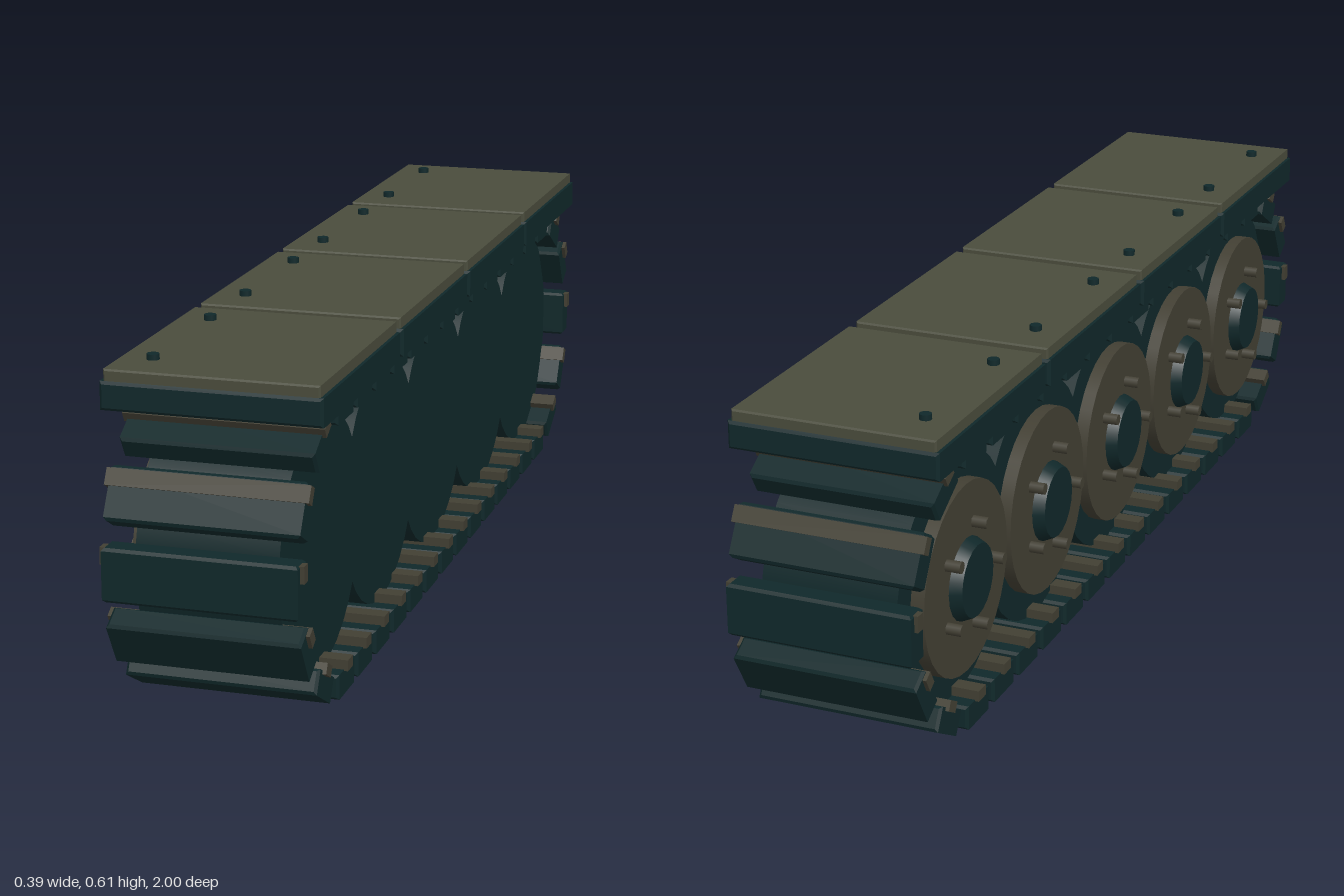
import * as THREE from 'three';

const mat = (name, color) => Object.assign(new THREE.MeshStandardMaterial({ color }), { name });

// box with chamfered edges, centred on the origin
function bevelBox(w, h, d, b) {
  const x = w / 2 - b, y = h / 2 - b;
  const shape = new THREE.Shape([[-x, -y], [x, -y], [x, y], [-x, y]].map(p => new THREE.Vector2(...p)));
  const geo = new THREE.ExtrudeGeometry(shape, {
    depth: d - 2 * b, bevelEnabled: true, bevelThickness: b, bevelSize: b, bevelSegments: 1,
  });
  return geo.translate(0, 0, b - d / 2);
}

// cylinder lying along x
const disc = (r, len, sides, r2 = r) => new THREE.CylinderGeometry(r, r2, len, sides).rotateZ(Math.PI / 2);

export function createModel() {
  const model = new THREE.Group();
  const steel = mat('dark teal steel', 0x10282a);
  const olive = mat('olive armour', 0x4a4c3c);
  const brown = mat('brown metal', 0x423f33);
  const add = (name, geo, material, x, y, z, parent = model) => {
    const m = new THREE.Mesh(geo, material);
    m.name = name;
    m.position.set(x, y, z);
    parent.add(m);
    return m;
  };

  const axleY = 0.268, endZ = 0.7325;

  // road wheels with outer disc, hub and five bolts on the right side
  const wheelGeo = disc(0.228, 0.25, 32);
  const discGeo = disc(0.175, 0.025, 32);
  const hubGeo = disc(0.066, 0.022, 20, 0.076);
  const boltGeo = disc(0.011, 0.028, 8);
  hubGeo.rotateY(Math.PI);
  for (let i = -2; i <= 2; i++) {
    const wheel = new THREE.Group();
    wheel.name = 'roadWheel';
    wheel.position.set(0, axleY, i * endZ / 2);
    add('wheelBody', wheelGeo, steel, 0, 0, 0, wheel);
    add('wheelDisc', discGeo, brown, -0.1375, 0, 0, wheel);
    add('wheelHub', hubGeo, steel, -0.16, 0, 0, wheel).rotation.y = Math.PI;
    for (let k = 0; k < 5; k++) {
      const a = k * Math.PI * 2 / 5;
      add('wheelBolt', boltGeo, brown, -0.164, 0.1 * Math.sin(a), 0.1 * Math.cos(a), wheel);
    }
    model.add(wheel);
  }

  // track shoes, each with a cross bar
  const shoeGeo = bevelBox(0.34, 0.045, 0.095, 0.005);
  const barGeo = new THREE.BoxGeometry(0.354, 0.02, 0.03);
  const radius = 0.245;
  const addShoe = (y, z, angle) => {
    add('trackShoe', shoeGeo, steel, 0, y, z).rotation.x = angle;
    add('trackBar', barGeo, brown, 0, y + 0.03, z).rotation.x = angle;
  };
  for (let i = 0; i < 14; i++) {
    const z = -endZ + i * 2 * endZ / 13;
    addShoe(axleY - radius, z, 0);
    addShoe(axleY + radius, z, 0);
  }
  for (const side of [-1, 1]) {
    for (let k = -2; k <= 2; k++) {
      const a = k * Math.PI / 6;
      addShoe(axleY + radius * Math.sin(a), side * (endZ + radius * Math.cos(a)), side * (Math.PI / 2 - a));
    }
  }

  // armoured track guards with two bolts each
  const baseGeo = bevelBox(0.386, 0.05, 0.456, 0.005);
  const plateGeo = bevelBox(0.374, 0.024, 0.446, 0.003);
  const topBoltGeo = new THREE.CylinderGeometry(0.011, 0.011, 0.014, 10);
  for (let i = 0; i < 4; i++) {
    const z = (i - 1.5) * 0.47;
    add('guardBase', baseGeo, steel, 0, 0.555, z);
    add('guardPlate', plateGeo, olive, 0, 0.588, z);
    for (const s of [-1, 1]) add('guardBolt', topBoltGeo, steel, -0.13, 0.603, z + s * 0.14);
  }
  return model;
}
